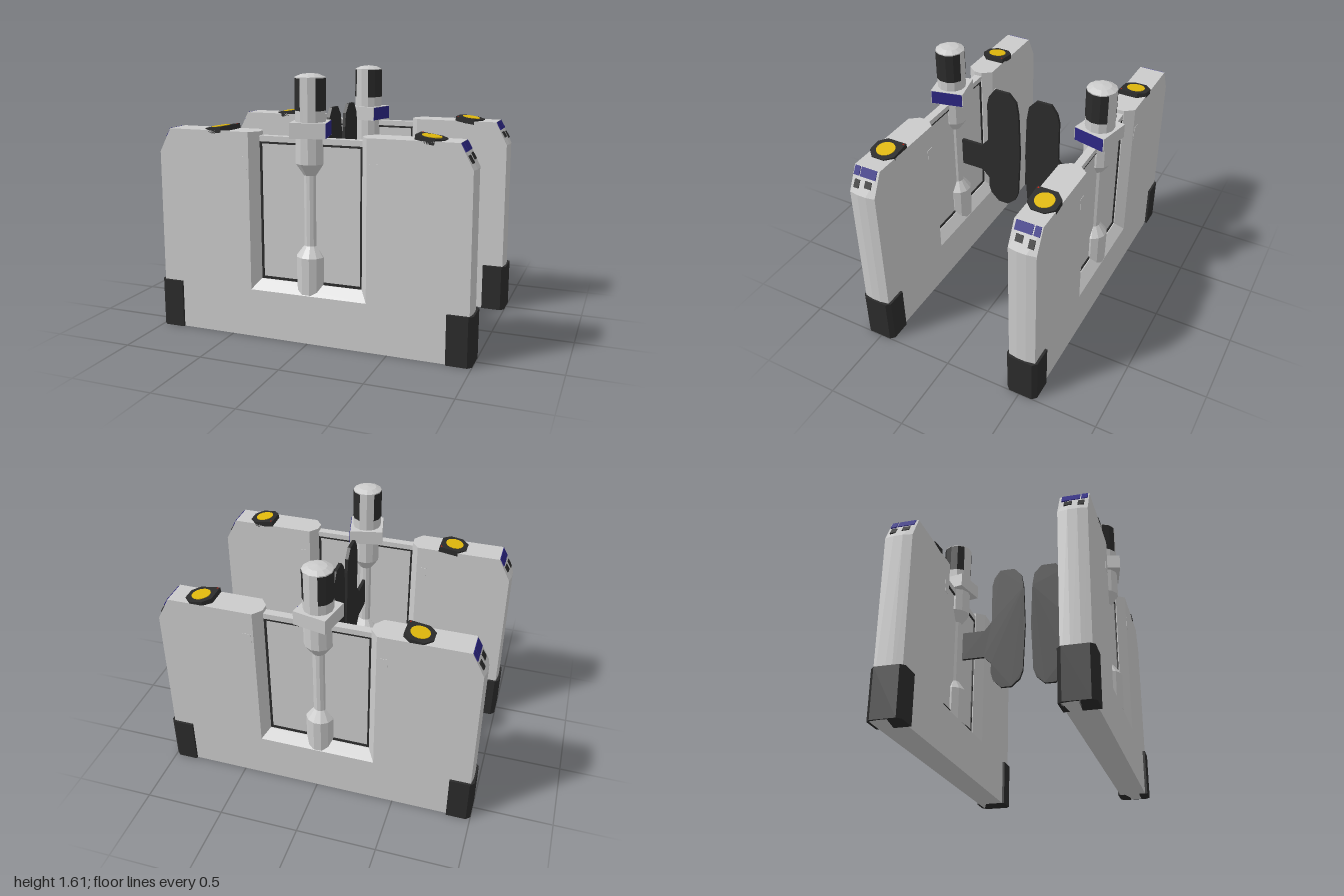
import * as THREE from 'three';

const mat = (color) => new THREE.MeshStandardMaterial({ color, flatShading: true, side: THREE.DoubleSide });
const grey = mat(0xcccccc), dark = mat(0x2b2b2b), yellow = mat(0xe0b80c), blue = mat(0x2c2684), red = mat(0xcc2010);

function add(parent, name, geometry, material, x = 0, y = 0, z = 0) {
  const mesh = new THREE.Mesh(geometry, material);
  mesh.name = name;
  mesh.position.set(x, y, z);
  parent.add(mesh);
  return mesh;
}
const box = (w, h, d) => new THREE.BoxGeometry(w, h, d);
const extrude = (points, depth, steps = 1) => new THREE.ExtrudeGeometry(
  new THREE.Shape(points.map(([x, y]) => new THREE.Vector2(x, y))), { depth, steps, bevelEnabled: false });

// Slab with a notch whose walls slope inwards from both faces
function bodyGeometry() {
  const half = [[0.37, 0.3], [0.37, 1.265], [0.9, 1.265], [0.985, 1.12], [0.99, 0]];
  const outline = [...half, ...half.map(([x, y]) => [-x, y]).reverse()];
  const geo = extrude(outline, 0.17, 3).translate(0, 0, -0.085);
  const p = geo.attributes.position;
  for (let i = 0; i < p.count; i++) {
    const x = p.getX(i), inner = Math.abs(p.getZ(i)) < 0.05;
    if (inner && Math.abs(x) < 0.5) {
      p.setX(i, Math.sign(x) * 0.325);
      if (p.getY(i) < 0.5) p.setY(i, 0.36);
    }
    if (!inner && Math.abs(x) > 0.95) p.setX(i, x - Math.sign(x) * 0.01);
  }
  geo.computeVertexNormals();
  return geo;
}

// Corner shoe with chamfered outer edges
function footGeometry(side) {
  const pts = [[0.85, -0.1], [0.975, -0.1], [1, -0.075], [1, 0.075], [0.975, 0.1], [0.85, 0.1]];
  return extrude(pts.map(([x, z]) => [x * side, z]), 0.3).rotateX(-Math.PI / 2);
}

// Tilted lamp on the cabinet top
function buildLamp(parent, x, side, s) {
  const lamp = new THREE.Group();
  lamp.name = 'lamp';
  lamp.position.set(x, 1.283, 0);
  lamp.rotation.z = -side * 0.14;
  parent.add(lamp);
  const r = 0.085, c = 0.04;
  const pts = [[r, r], [-c, r], [-r, c], [-r, -c], [-c, -r], [c, -r], [r, -c]];
  const geo = extrude(pts.map(([a, b]) => [-side * a, s * b]), 0.035).rotateX(-Math.PI / 2);
  add(lamp, 'lampBase', geo, dark, 0, -0.035, 0);
  add(lamp, 'lampDisc', new THREE.CylinderGeometry(0.057, 0.057, 0.008, 20), yellow);
  add(lamp, 'indicator', box(0.008, 0.004, 0.008), red, -side * 0.073, 0.001, -s * 0.073);
}

// Reader panels lying on the slanted end of the cabinet
function buildReader(parent, side, s) {
  const panel = (name, t, length, z, width, material) => {
    const m = add(parent, name, box(0.008, length, width), material,
      side * (0.9 + 0.506 * t), 1.265 - 0.863 * t, s * z);
    m.rotation.z = side > 0 ? 0.53 : Math.PI - 0.53;
  };
  panel('readerScreen', 0.03, 0.056, -0.018, 0.105, blue);
  panel('readerScreen', 0.03, 0.056, 0.06, 0.036, blue);
  panel('readerSlot', 0.105, 0.05, 0.045, 0.035, dark);
  panel('readerSlot', 0.095, 0.042, -0.03, 0.045, dark);
}

// Turned column with a square head, dark windows and a domed cap
function buildColumn(parent, s) {
  const column = new THREE.Group();
  column.name = 'column';
  column.position.x = -0.005;
  column.rotation.y = s * 0.22;
  parent.add(column);
  const profile = [[0, 0.305], [0.088, 0.305], [0.09, 0.53], [0.042, 0.595], [0.042, 1.02], [0.09, 1.09],
    [0.09, 1.59], [0.055, 1.606], [0, 1.613]].map(([r, y]) => new THREE.Vector2(r, y));
  add(column, 'post', new THREE.LatheGeometry(profile, 12), grey);
  add(column, 'head', box(0.21, 0.09, 0.21), grey, 0, 1.29, 0);
  add(column, 'headScreen', box(0.006, 0.084, 0.2), blue, 0.105, 1.29, 0);
  for (const start of [Math.PI / 6, Math.PI * 7 / 6]) {
    const arc = new THREE.CylinderGeometry(0.092, 0.092, 0.185, 4, 1, true, start, Math.PI * 2 / 3);
    add(column, 'columnWindow', arc, dark, 0, 1.492, 0);
  }
}

// Paddle gate with its hinge arm, in the plane across the lane
function flapGeometry(s) {
  const pts = [[0.195, 1.385], [0.235, 1.33], [0.25, 1.27], [0.25, 1], [0.3, 0.94], [0.45, 0.94], [0.45, 0.75],
    [0.3, 0.75], [0.25, 0.7], [0.25, 0.63], [0.235, 0.58], [0.18, 0.525], [0.11, 0.525], [0.055, 0.575],
    [0.035, 0.63], [0.02, 0.95], [0.03, 1.24], [0.045, 1.33], [0.095, 1.385]];
  return extrude(pts.map(([z, y]) => [s * z, y]), 0.02).rotateY(-Math.PI / 2);
}

// One cabinet; s is the side of the lane along z
function buildCabinet(s) {
  const g = new THREE.Group();
  g.name = s > 0 ? 'frontCabinet' : 'backCabinet';
  g.position.z = s * 0.51;
  add(g, 'body', bodyGeometry(), grey);
  add(g, 'windowPanel', box(0.65, 0.89, 0.03), grey, 0, 0.795, 0);
  add(g, 'windowFrameBottom', box(0.65, 0.015, 0.045), dark, 0, 0.367, 0);
  add(g, 'windowFrameTop', box(0.65, 0.013, 0.045), dark, 0, 1.2, 0);
  add(g, 'windowTopRail', box(0.65, 0.034, 0.05), grey, 0, 1.223, 0);
  for (const side of [-1, 1]) {
    add(g, 'windowFrameSide', box(0.013, 0.84, 0.045), dark, side * 0.318, 0.785, 0);
    add(g, 'foot', footGeometry(side), dark);
    for (const face of [-1, 1])
      add(g, 'sensor', box(0.05, 0.08, 0.006), grey, side * 0.41, 1.08, face * 0.084);
    buildLamp(g, side > 0 ? 0.72 : -0.595, side, s);
    buildReader(g, side, s);
  }
  buildColumn(g, s);
  return g;
}

export function createModel() {
  const model = new THREE.Group();
  model.name = 'paddleGate';
  for (const s of [-1, 1]) {
    model.add(buildCabinet(s));
    add(model, 'flap', flapGeometry(s), dark, 0.005, 0, 0);
  }
  return model;
}
